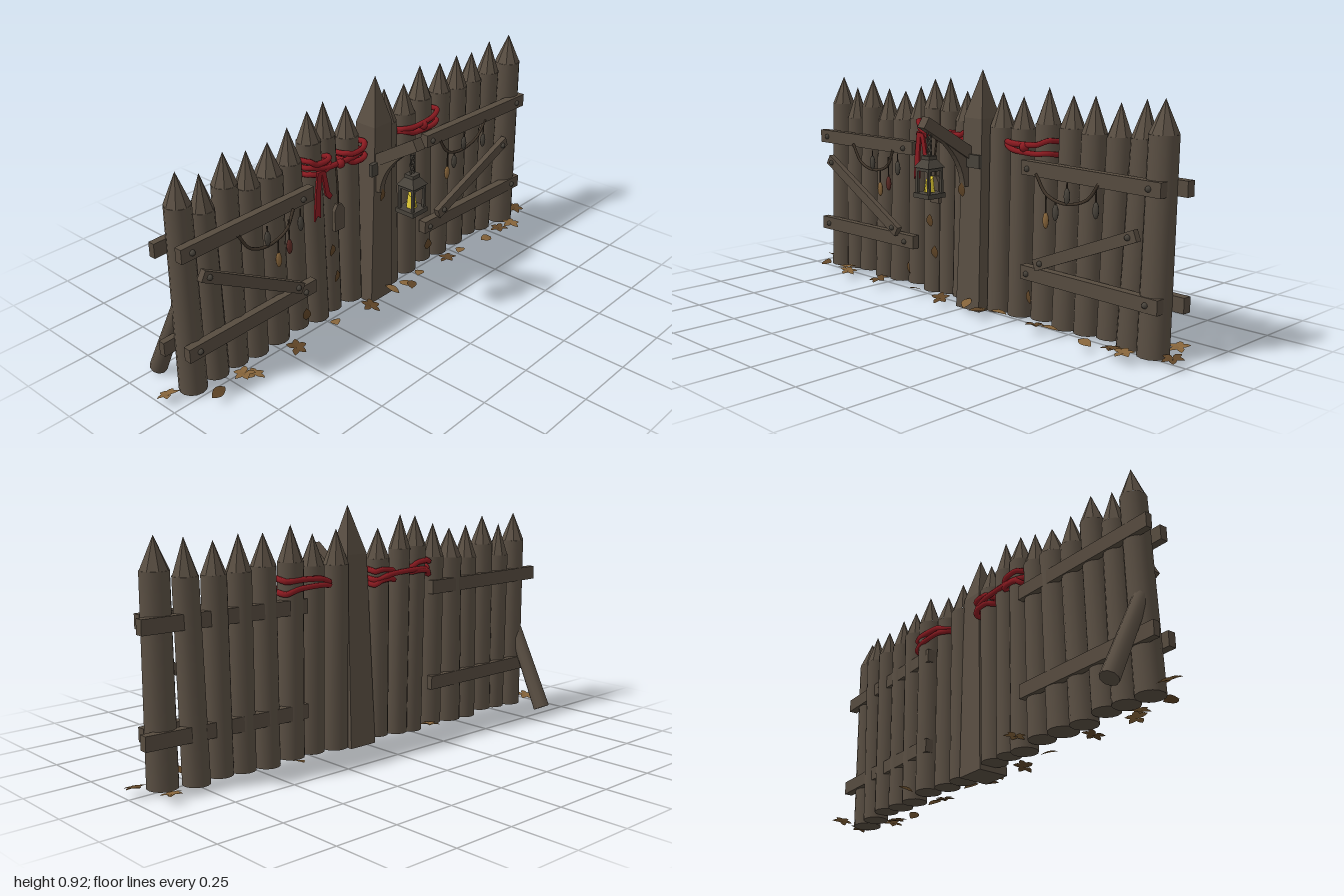
import * as THREE from 'three';
import { mergeGeometries } from 'three/addons/utils/BufferGeometryUtils.js';

const mat = (name, color, extra = {}) => Object.assign(new THREE.MeshStandardMaterial({ color, ...extra }), { name });
const V = (x, y, z) => new THREE.Vector3(x, y, z);

export function createModel() {
  const root = new THREE.Group();
  root.name = 'palisadeFence';
  const wood = mat('bark', 0x5a4f43), plank = mat('plank', 0x564b3f), iron = mat('iron', 0x48433b);
  const red = mat('redCloth', 0x8a1a20), wax = mat('candleYellow', 0xe3cc35), rope = mat('rope', 0x40352a);
  const leafMat = mat('dryLeaf', 0x86643a, { side: THREE.DoubleSide });
  const leafDark = mat('darkLeaf', 0x604527, { side: THREE.DoubleSide });
  const charmRed = mat('charmRed', 0x5c2a24);

  let seed = 7;
  const rnd = () => (seed = (seed * 16807) % 2147483647) / 2147483647;

  const add = (name, geo, material, parent = root) => {
    const m = new THREE.Mesh(geo, material);
    m.name = name;
    parent.add(m);
    return m;
  };
  // Box running from a to b
  const beam = (name, a, b, w, h, material = plank) => {
    const m = add(name, new THREE.BoxGeometry(w, h, a.distanceTo(b)), material);
    m.position.copy(a).add(b).multiplyScalar(0.5);
    m.lookAt(b);
    return m;
  };
  const tube = (name, pts, r, material, closed = false, seg = 40) =>
    add(name, new THREE.TubeGeometry(new THREE.CatmullRomCurve3(pts, closed), seg, r, 6, closed), material);

  // Pointed stake, leaning from its base to its tip
  const stake = (name, base, tip, r0, r1, point, sides) => {
    const h = tip.y - base.y, turn = sides === 4 ? Math.PI / 4 : rnd() * 3;
    const shaft = new THREE.CylinderGeometry(r1, r0, h - point, sides).translate(0, (h - point) / 2, 0);
    const cone = new THREE.ConeGeometry(r1, point, sides === 4 ? 4 : 8, 1, true).translate(0, h - point / 2, 0);
    const parts = [shaft, cone].map(g => g.toNonIndexed());
    parts[1].computeVertexNormals();
    if (sides === 4) parts[0].computeVertexNormals();
    const geo = mergeGeometries(parts).rotateY(turn), p = geo.attributes.position;
    for (let i = 0; i < p.count; i++) {
      const t = p.getY(i) / h;
      p.setXYZ(i, p.getX(i) + base.x + (tip.x - base.x) * t, p.getY(i) + base.y, p.getZ(i) + base.z + (tip.z - base.z) * t);
    }
    return add(name, geo, wood);
  };

  // Stakes: base x, tip x, height, z, base radius
  [[-.87, -.86, .84, -.055, .051], [-.765, -.765, .80, -.055, .048], [-.675, -.66, .84, -.055, .05],
    [-.572, -.556, .81, -.058, .05], [-.47, -.455, .805, -.06, .056], [-.36, -.36, .83, -.06, .05],
    [-.257, -.267, .865, -.053, .05], [-.176, -.182, .875, -.057, .046], [-.078, -.075, .83, -.045, .05],
    [.128, .126, .84, -.035, .052], [.238, .235, .83, -.03, .05], [.347, .347, .87, -.043, .052],
    [.452, .465, .85, -.037, .05], [.558, .567, .855, -.033, .05], [.658, .674, .84, -.037, .049],
    [.752, .785, .86, -.03, .05], [.868, .88, .87, 0, .056]
  ].forEach(([bx, tx, h, z, r], i) =>
    stake('stake', V(bx, .008 + (i % 3) * .006, z), V(tx, h, z - .012), r, r * .92, .115 + (i % 2) * .015, 14));
  stake('mainPost', V(.022, 0, -.022), V(.045, .92, -.02), .088, .068, .18, 4);

  // Front and back rails with nails
  const nail = (x, y, z) => add('nail', new THREE.SphereGeometry(.011, 8, 6), iron).position.set(x, y, z);
  for (const y of [.583, .197]) {
    beam('leftFrontRail', V(-.925, y, .0), V(-.32, y + .004, 0), .03, .054);
    beam('leftBackRail', V(-.955, y - .003, -.098), V(-.315, y, -.108), .026, .054);
    beam('rightFrontRail', V(.295, y + .003, .018), V(.92, y, .04), .034, .052);
    beam('rightBackRail', V(.3, y - .004, -.075), V(.965, y, -.045), .034, .054);
    nail(-.88, y, .016); nail(-.375, y, .016); nail(.325, y, .037); nail(.87, y, .056);
  }
  beam('leftDiagonal', V(-.855, .488, .02), V(-.405, .235, .022), .024, .042);
  beam('rightDiagonal', V(.37, .238, .035), V(.82, .42, .04), .024, .042);
  nail(-.83, .475, .033); nail(-.43, .25, .035); nail(.4, .25, .048); nail(.79, .41, .053);

  // Leaning prop at the back
  const prop = add('backProp', new THREE.CylinderGeometry(.027, .033, .36, 10), wood);
  prop.position.set(-.88, .178, -.157);
  prop.rotation.x = .45;

  // Lantern arm with curved brace
  beam('lanternArm', V(.015, .6, .015), V(-.005, .738, .235), .042, .045);
  const brace = new THREE.Shape();
  brace.moveTo(.03, .48).lineTo(.05, .48).quadraticCurveTo(.06, .585, .16, .665).lineTo(.13, .68).lineTo(.03, .61);
  const braceMesh = add('armBrace', new THREE.ExtrudeGeometry(brace, { depth: .026, bevelEnabled: false, curveSegments: 8 })
    .rotateY(-Math.PI / 2), plank);
  braceMesh.position.x = .02;
  beam('postStrap', V(-.04, .58, .034), V(.088, .58, .034), .016, .05, iron);

  // Lantern
  const lamp = new THREE.Group();
  lamp.name = 'lantern';
  lamp.position.set(-.005, .458, .207);
  root.add(lamp);
  const box = (name, w, h, d, x, y, z, m = iron) => add(name, new THREE.BoxGeometry(w, h, d), m, lamp).position.set(x, y, z);
  box('lanternBase', .084, .018, .084, 0, .009, 0);
  box('lanternTopPlate', .072, .012, .072, 0, .106, 0);
  for (const x of [-1, 1]) for (const z of [-1, 1]) box('lanternCorner', .01, .09, .01, x * .031, .06, z * .031);
  add('lanternRoof', new THREE.CylinderGeometry(.028, .058, .03, 4).rotateY(Math.PI / 4).toNonIndexed(), iron, lamp).position.y = .127;
  lamp.getObjectByName('lanternRoof').geometry.computeVertexNormals();
  box('lanternCap', .04, .014, .04, 0, .148, 0);
  const candle = new THREE.CylinderGeometry(.014, .02, .05, 10, 3), cp = candle.attributes.position;
  for (let i = 0; i < cp.count; i++) if (cp.getY(i) > 0) cp.setY(i, cp.getY(i) - cp.getZ(i) * .6);
  candle.computeVertexNormals();
  add('candle', candle, wax, lamp).position.y = .045;
  for (let i = 0; i < 4; i++) {
    const link = add('chainLink', new THREE.TorusGeometry(.013, .004, 6, 12).scale(.75, 1.2, 1), iron, lamp);
    link.position.y = .165 + i * .022;
    link.rotation.y = (i % 2) * Math.PI / 2;
  }

  // Cloth wrapped around neighbouring stakes
  const wrap = (x0, x1, y, z, dy) => {
    const pts = [], cx = (x0 + x1) / 2, w = (x1 - x0) / 2 + .053;
    for (let i = 0; i < 24; i++) {
      const a = i / 24 * Math.PI * 2, c = Math.cos(a), s = Math.sin(a);
      pts.push(V(cx + w * Math.sign(c) * Math.abs(c) ** .5, y + dy * c + .006 * Math.sin(3 * a), z + .055 * Math.sign(s) * Math.abs(s) ** .4));
    }
    tube('redWrap', pts, .011, red, true, 72);
  };
  wrap(-.262, -.262, .685, -.056, -.008);
  wrap(-.262, -.262, .65, -.056, .01);
  wrap(-.262, -.08, .655, -.055, -.012);
  wrap(-.077, -.077, .67, -.05, .008);
  wrap(-.077, -.077, .632, -.05, -.006);
  wrap(.236, .347, .67, -.042, .012);
  wrap(.236, .347, .642, -.042, -.008);
  for (const [x, y, z] of [[-.172, .648, .005], [.29, .655, .015]])
    add('redKnot', new THREE.SphereGeometry(.018, 10, 8), red).position.set(x, y, z);
  const tail = (pts) => {
    const s = new THREE.Shape(pts.map(p => new THREE.Vector2(...p)));
    add('redTail', new THREE.ExtrudeGeometry(s, { depth: .008, bevelEnabled: false }), red).position.z = .004;
  };
  tail([[-.295, .655], [-.272, .655], [-.283, .56], [-.285, .47], [-.3, .485], [-.314, .465], [-.308, .56]]);
  tail([[-.275, .655], [-.255, .65], [-.235, .56], [-.222, .54], [-.235, .528], [-.256, .55]]);

  // Hanging cords, charms and wooden tag
  tube('leftCord', [V(-.69, .57, .022), V(-.64, .5, .022), V(-.56, .475, .022), V(-.47, .5, .022), V(-.43, .57, .022)], .006, rope);
  tube('rightCord', [V(.37, .57, .038), V(.42, .505, .04), V(.51, .482, .042), V(.61, .51, .045), V(.66, .57, .046)], .006, rope);
  const charm = (x, top, y, z, m) => {
    tube('charmString', [V(x, top, z), V(x, (top + y) / 2, z), V(x, y, z)], .003, rope, false, 4);
    add('charm', new THREE.SphereGeometry(.016, 8, 6).scale(.8, 1.9, .6), m).position.set(x, y - .02, z);
  };
  charm(-.56, .555, .525, .024, iron);
  charm(-.512, .48, .42, .024, leafMat);
  charm(-.458, .54, .45, .024, charmRed);
  charm(-.4, .56, .52, .024, iron);
  charm(.42, .5, .43, .04, leafMat);
  charm(.465, .49, .465, .04, iron);
  charm(.52, .56, .53, .044, iron);
  charm(.65, .56, .5, .046, iron);
  tube('tagString', [V(-.19, .64, .0), V(-.192, .57, .008), V(-.19, .49, .008)], .004, rope, false, 8);
  const tag = new THREE.Shape([[-.025, 0], [.025, 0], [.025, .085], [.01, .108], [-.01, .108], [-.025, .085]].map(p => new THREE.Vector2(...p)));
  add('woodenTag', new THREE.ExtrudeGeometry(tag, { depth: .016, bevelEnabled: false }), plank).position.set(-.19, .385, .0);

  // Fallen leaves: single ovals and lobed ones
  const oval = (L, W) => {
    const s = new THREE.Shape();
    s.moveTo(0, 0).quadraticCurveTo(W, L * .45, 0, L).quadraticCurveTo(-W, L * .45, 0, 0);
    const g = new THREE.ShapeGeometry(s, 5), p = g.attributes.position;
    for (let i = 0; i < p.count; i++) p.setZ(i, Math.abs(p.getX(i)) * .4 + p.getY(i) ** 2 * 2);
    g.computeVertexNormals();
    return g.rotateX(-Math.PI / 2);
  };
  const leaf = (x, y, z, lobed, i) => {
    const geo = lobed
      ? mergeGeometries([0, 1, 2, 3, 4].map(k => oval(.042, .026).rotateY(k * 1.15)))
      : oval(.065, .04).translate(0, 0, .032);
    const m = add('fallenLeaf', geo, i % 3 === 1 ? leafDark : leafMat);
    m.position.set(x, y, z);
    m.rotation.set((rnd() - .5) * .7, rnd() * 6, (rnd() - .5) * .5);
  };
  [[-.968, -.07, 1], [-.85, .055, 0], [-.72, .045, 1], [-.69, .065, 1], [-.48, .065, 1], [-.3, -.13, 1],
    [-.26, .055, 0], [-.09, .08, 1], [.05, .07, 0], [.13, .07, 0], [.135, .1, 0], [.22, .07, 0], [.38, -.13, 0],
    [.4, .07, 1], [.48, .08, 0], [.65, .09, 0], [.76, .08, 1], [.82, .1, 1], [.9, -.105, 1], [.962, .02, 1]
  ].forEach(([x, z, lobed], i) => leaf(x, .022 + (i % 3) * .005, z, lobed, i));

  // Leaves caught on the wood
  [[.005, .44, .047], [-.2, .155, 0], [-.225, .28, .002], [.33, .08, .018], [-.36, .06, -.004]].forEach(([x, y, z]) => {
    const m = add('caughtLeaf', oval(.055, .035), leafDark);
    m.position.set(x, y, z);
    m.rotation.set(Math.PI / 2, 0, rnd() - .5);
  });
  return root;
}
